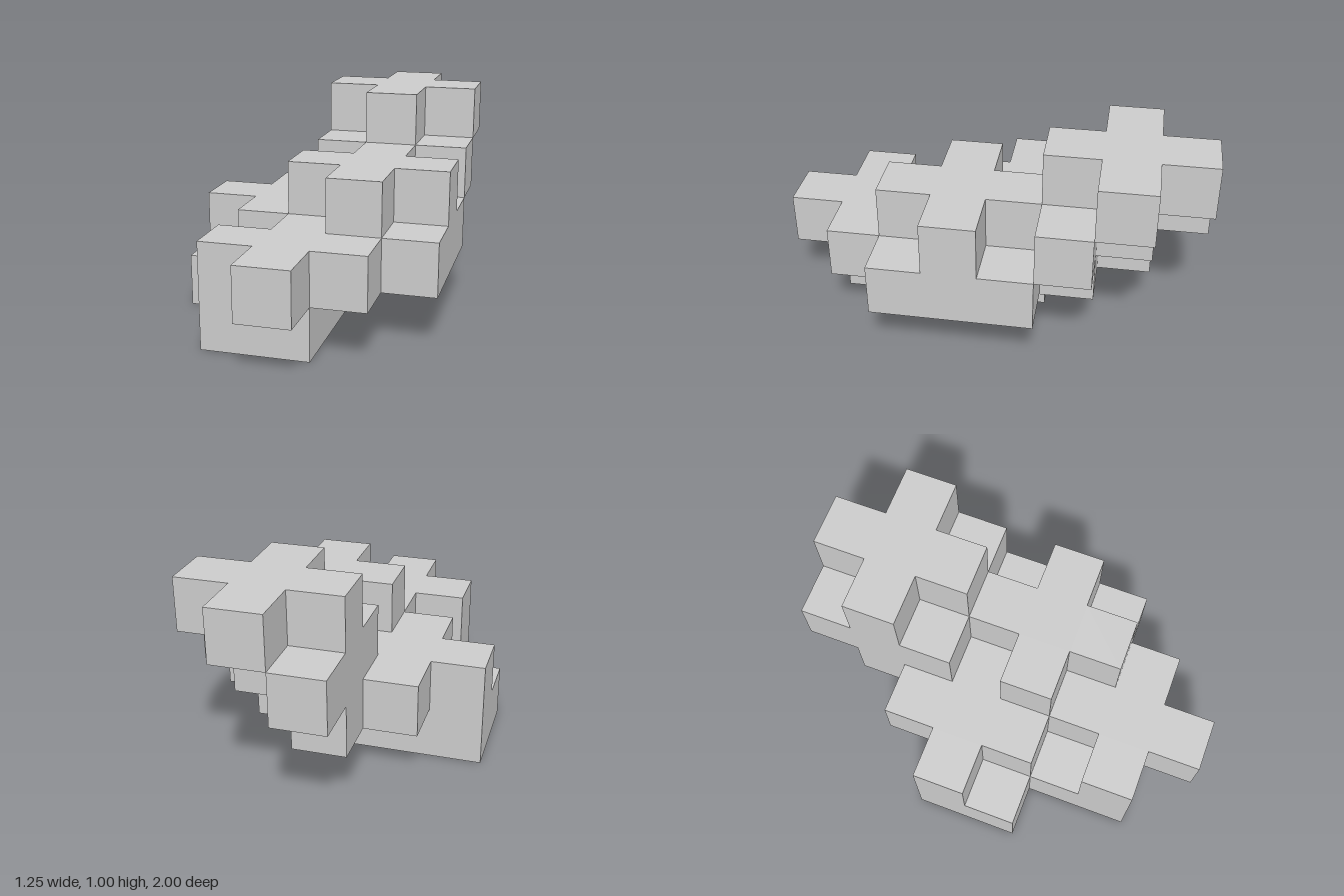
import * as THREE from 'three';
import { mergeGeometries } from 'three/addons/utils/BufferGeometryUtils.js';

const S = 0.25; // cube size

// Floor plans from bottom to top: rows run back to front, columns along +x
const layers = [
  { name: 'baseLayer', plan: ['.....', '.....', '.....', '###..', '###..', '.##..', '.##..', '.....'] },
  { name: 'lowerCrossLayer', plan: ['.....', '..#..', '.###.', '#####', '.####', '..###', '.###.', '..#..'] },
  { name: 'middleCrossLayer', plan: ['..#..', '..##.', '..###', '...#.', '..###', '...#.', '.....', '.....'] },
  { name: 'topCrossLayer', plan: ['...#.', '..###', '...#.', '.....', '.....', '.....', '.....', '.....'] },
];

const filled = (x, y, z) => layers[y]?.plan[z]?.[x] === '#';

// Outward direction of each cube side, with the turn that makes a plane face it
const sides = [
  { d: [1, 0, 0], rx: 0, ry: Math.PI / 2 },
  { d: [-1, 0, 0], rx: 0, ry: -Math.PI / 2 },
  { d: [0, 1, 0], rx: -Math.PI / 2, ry: 0 },
  { d: [0, -1, 0], rx: Math.PI / 2, ry: 0 },
  { d: [0, 0, 1], rx: 0, ry: 0 },
  { d: [0, 0, -1], rx: 0, ry: Math.PI },
];

// Only the uncovered sides of a cube
function cubeFaces(x, y, z) {
  return sides
    .filter(({ d }) => !filled(x + d[0], y + d[1], z + d[2]))
    .map(({ rx, ry }) => new THREE.PlaneGeometry(S, S)
      .translate(0, 0, S / 2)
      .rotateX(rx)
      .rotateY(ry)
      .translate((x - 2) * S, (y + 0.5) * S, (z - 3.5) * S));
}

export function createModel() {
  const model = new THREE.Group();
  model.name = 'steppedCrossBlocks';
  const material = new THREE.MeshStandardMaterial({ color: 0xcccccc, flatShading: true });

  // One mesh per layer of cubes
  layers.forEach(({ name, plan }, y) => {
    const faces = [];
    plan.forEach((row, z) => [...row].forEach((c, x) => {
      if (c === '#') faces.push(...cubeFaces(x, y, z));
    }));
    const mesh = new THREE.Mesh(mergeGeometries(faces), material);
    mesh.name = name;
    model.add(mesh);
  });
  return model;
}
